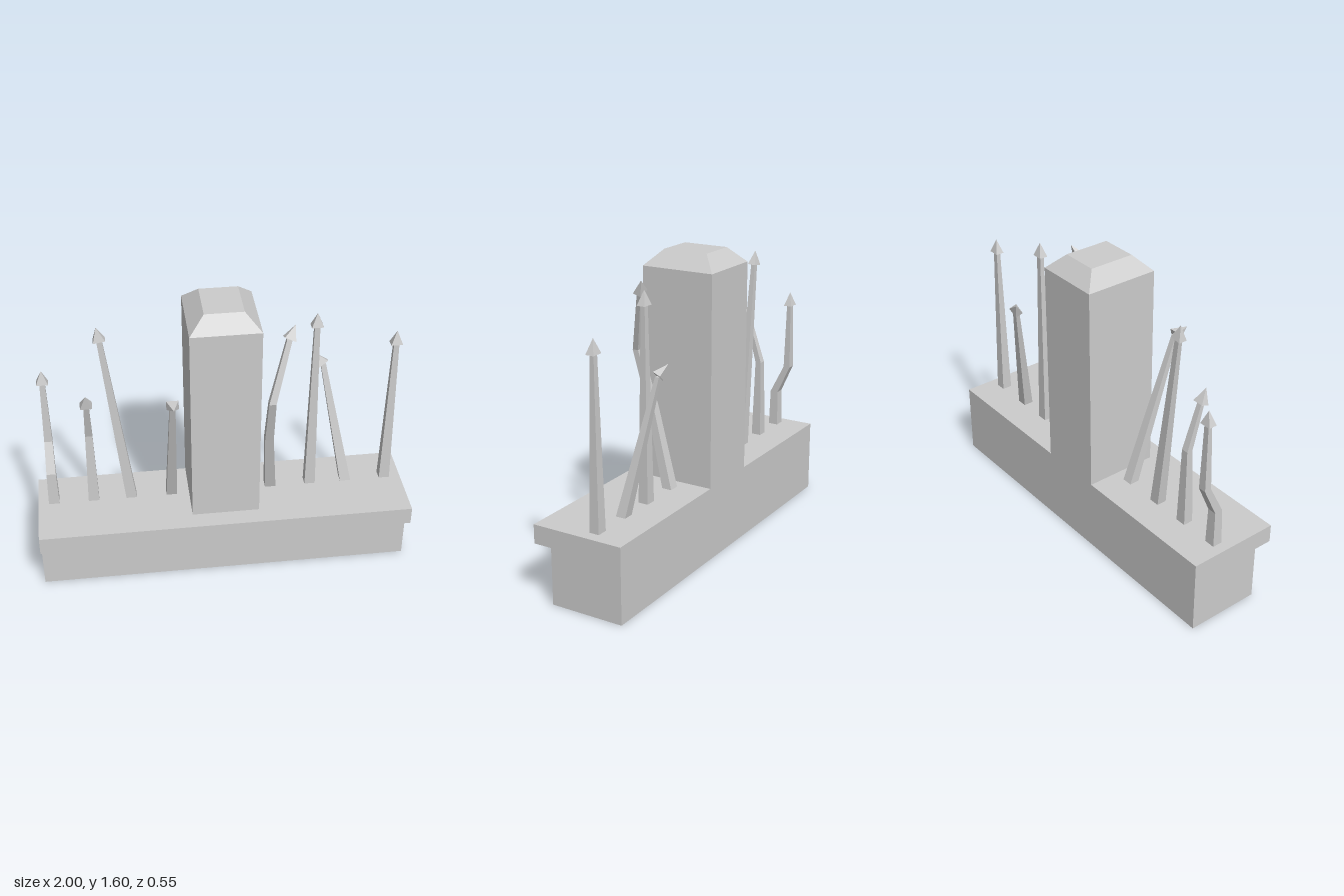
import * as THREE from 'three';

const material = new THREE.MeshStandardMaterial({ color: 0xcccccc, flatShading: true });

function add(parent, geometry, name) {
  const mesh = new THREE.Mesh(geometry, material);
  mesh.name = name;
  parent.add(mesh);
  return mesh;
}

// Four-sided column through horizontal rectangular rings { x, y, z, w, d }
function loft(rings) {
  const n = rings.length - 1;
  const geometry = new THREE.BoxGeometry(1, 1, 1, 1, n, 1);
  const p = geometry.attributes.position;
  for (let i = 0; i < p.count; i++) {
    const r = rings[Math.round((p.getY(i) + 0.5) * n)];
    p.setXYZ(i, r.x + p.getX(i) * r.w, r.y, r.z + p.getZ(i) * r.d);
  }
  geometry.computeVertexNormals();
  return geometry;
}

// Tapered railing bar along a path, with a pyramid head pointing at the tip
function createSpike(path, tip) {
  const spike = new THREE.Group();
  spike.name = 'railingSpike';
  const points = path.map((a) => new THREE.Vector3(...a));
  const low = points[0].y;
  const end = points[points.length - 1];
  add(spike, loft(points.map(({ x, y, z }) => {
    const t = (y - low) / (end.y - low);
    return { x, y, z, w: 0.058 - 0.03 * t, d: 0.054 - 0.032 * t };
  })), 'spikeShaft');

  const direction = new THREE.Vector3(...tip).sub(end);
  const headGeometry = new THREE.ConeGeometry(Math.SQRT1_2, 1, 4, 1);
  headGeometry.rotateY(Math.PI / 4).translate(0, 0.5, 0);
  headGeometry.scale(0.062, direction.length(), 0.045);
  const head = add(spike, headGeometry, 'spikeHead');
  head.position.copy(end);
  head.quaternion.setFromUnitVectors(new THREE.Vector3(0, 1, 0), direction.normalize());
  return spike;
}

export function createModel() {
  const model = new THREE.Group();
  model.name = 'wallWithBrokenRailing';

  // Low wall with an overhanging front lip: side profile (z, y) run along x
  const profile = new THREE.Shape([
    [-0.275, 0], [0.125, 0], [0.125, 0.3], [0.225, 0.3], [0.225, 0.4], [-0.275, 0.4],
  ].map(([z, y]) => new THREE.Vector2(-z, y)));
  const wall = new THREE.ExtrudeGeometry(profile, { depth: 2, bevelEnabled: false });
  wall.translate(0, 0, -1).rotateY(Math.PI / 2);
  add(model, wall, 'baseWall');

  // Central pillar with a chamfered top
  add(model, loft([
    { x: 0, y: 0.4, z: -0.075, w: 0.36, d: 0.4 },
    { x: 0, y: 1.52, z: -0.075, w: 0.36, d: 0.4 },
    { x: 0, y: 1.6, z: -0.075, w: 0.2, d: 0.245 },
  ]), 'pillar');

  // Railing spikes: shaft path, then head tip
  const Z = -0.085;
  const spikes = [
    [[[-0.915, 0.4, Z], [-0.915, 0.6, Z], [-0.915, 0.76, -0.16], [-0.915, 1.125, -0.16]], [-0.915, 1.2, -0.16]],
    [[[-0.7, 0.4, Z], [-0.7, 0.83, Z], [-0.7, 1.07, -0.01]], [-0.7, 1.146, 0.02]],
    [[[-0.495, 0.4, Z], [-0.61, 1.408, Z]], [-0.622, 1.483, Z]],
    [[[-0.275, 0.4, Z], [-0.275, 1.18, 0.192]], [-0.275, 1.2, 0.271]],
    [[[0.27, 0.4, Z], [0.238, 0.81, 0.035], [0.235, 1.1, 0.127], [0.325, 1.425, 0.046]], [0.36, 1.49, 0.018]],
    [[[0.49, 0.4, Z], [0.49, 1.408, Z]], [0.49, 1.483, Z]],
    [[[0.69, 0.4, Z], [0.56, 1.092, -0.207]], [0.515, 1.147, -0.234]],
    [[[0.91, 0.4, Z], [0.91, 1.27, Z]], [0.91, 1.345, Z]],
  ];
  for (const [path, tip] of spikes) model.add(createSpike(path, tip));

  return model;
}
